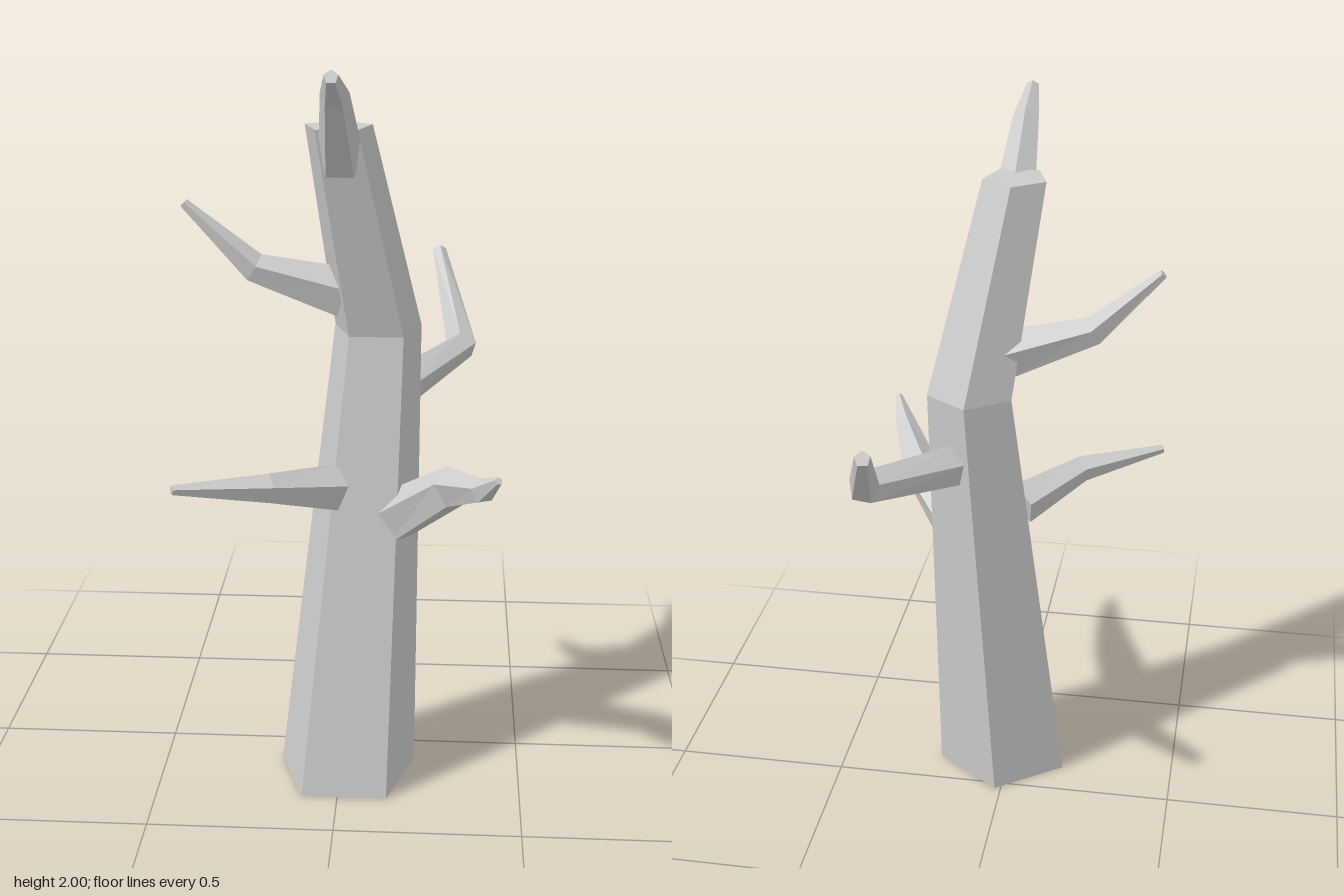
import * as THREE from 'three';

const SIDES = 5;
const UP = new THREE.Vector3(0, 1, 0);
const BACK = new THREE.Vector3(0, 0, -1);
const material = new THREE.MeshStandardMaterial({ color: 0xcccccc, flatShading: true });

// Tapered, capped five-sided limb through joints [x, y, z, radius].
// A fixed axis keeps every ring parallel; otherwise rings follow the bends.
function limb(name, joints, ref, axis) {
  const centres = joints.map(([x, y, z]) => new THREE.Vector3(x, y, z));
  const last = joints.length - 1;
  const step = (i) => centres[i + 1].clone().sub(centres[i]).normalize();
  const positions = [];
  const index = [];

  centres.forEach((c, i) => {
    const t = axis ? axis.clone() : new THREE.Vector3();
    if (!axis && i > 0) t.add(step(i - 1));
    if (!axis && i < last) t.add(step(i));
    t.normalize();
    const u = ref.clone().addScaledVector(t, -ref.dot(t)).normalize();
    const v = t.clone().cross(u);
    for (let j = 0; j < SIDES; j++) {
      const a = (j / SIDES) * Math.PI * 2;
      const p = c.clone()
        .addScaledVector(u, Math.cos(a) * joints[i][3])
        .addScaledVector(v, Math.sin(a) * joints[i][3]);
      positions.push(p.x, p.y, p.z);
    }
  });

  // Side walls
  for (let i = 0; i < last; i++) {
    for (let j = 0; j < SIDES; j++) {
      const k = (j + 1) % SIDES;
      const a = i * SIDES + j, b = i * SIDES + k;
      index.push(a, b, a + SIDES, b, b + SIDES, a + SIDES);
    }
  }
  // End caps
  const top = last * SIDES;
  for (let j = 1; j < SIDES - 1; j++) {
    index.push(0, j + 1, j, top, top + j, top + j + 1);
  }

  const indexed = new THREE.BufferGeometry();
  indexed.setAttribute('position', new THREE.Float32BufferAttribute(positions, 3));
  indexed.setIndex(index);
  const geometry = indexed.toNonIndexed();
  geometry.computeVertexNormals();
  const mesh = new THREE.Mesh(geometry, material);
  mesh.name = name;
  return mesh;
}

export function createModel() {
  const tree = new THREE.Group();
  tree.name = 'deadTree';

  // Leaning trunk with level rings
  tree.add(limb('trunk', [
    [0.018, 0, 0.17, 0.198],
    [0.093, 1.265, 0.055, 0.122],
    [-0.003, 1.825, 0.21, 0.09],
  ], BACK, UP));

  // Bent bare branches
  const branches = {
    topBranch: [[0.005, 1.74, 0.235, 0.06], [0.003, 1.925, 0.43, 0.037], [0.003, 1.985, 0.55, 0.018]],
    upperRightBranch: [[0, 1.37, 0.095, 0.07], [-0.23, 1.44, 0.122, 0.041], [-0.41, 1.61, 0.125, 0.013]],
    lowerRightBranch: [[-0.02, 0.86, 0.2, 0.065], [-0.18, 0.91, 0.35, 0.04], [-0.41, 0.94, 0.458, 0.013]],
    backBranch: [[0.13, 1.07, 0, 0.06], [0.32, 1.125, -0.28, 0.046], [0.25, 1.345, -0.55, 0.021]],
    leftBranch: [[0.14, 0.76, 0.16, 0.075], [0.3, 0.905, 0.3, 0.057], [0.375, 0.96, 0.47, 0.032], [0.41, 1.015, 0.545, 0.01]],
  };
  for (const [name, joints] of Object.entries(branches)) tree.add(limb(name, joints, UP));

  return tree;
}
